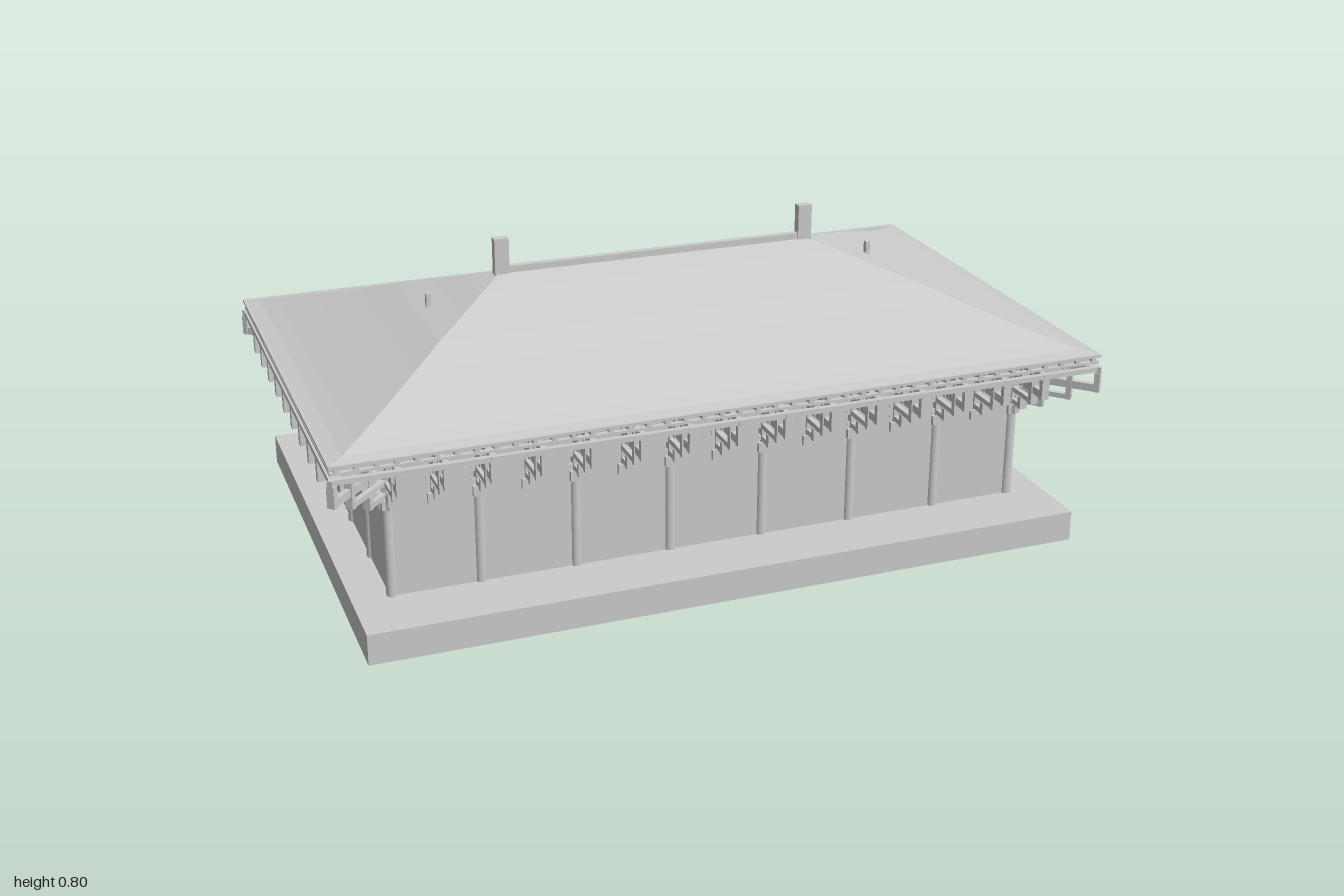
import * as THREE from 'three';
import { mergeGeometries } from 'three/addons/utils/BufferGeometryUtils.js';

const grey = new THREE.MeshStandardMaterial({ color: 0xcccccc, flatShading: true, side: THREE.DoubleSide });
const smooth = new THREE.MeshStandardMaterial({ color: 0xcccccc });

// Box given by its lower and upper limits
function span(x0, x1, y0, y1, z0, z1) {
  return new THREE.BoxGeometry(x1 - x0, y1 - y0, z1 - z0)
    .translate((x0 + x1) / 2, (y0 + y1) / 2, (z0 + z1) / 2);
}

function add(parent, name, geometry, material = grey) {
  const mesh = new THREE.Mesh(geometry, material);
  mesh.name = name;
  parent.add(mesh);
  return mesh;
}

const X = 0.835, Z = 0.435;                       // outer column axes
const colX = [-X, -0.613, -0.37, -0.124, 0.124, 0.37, 0.613, X];
const colZ = [-Z, -0.218, 0, 0.218, Z];
const WALL_TOP = 0.47, EAVE_X = 0.995, EAVE_Z = 0.59;

// Stepped bracket set reaching out along +z from the column axis
function bracketGeometry(stretch = 1) {
  const parts = [
    span(-0.016, 0.016, 0.312, 0.338, -0.016, 0.016),   // bearing block
    span(-0.007, 0.007, 0.338, 0.475, -0.012, 0.012),   // post
  ];
  const arms = [[0.342, 0.355, 0.06], [0.375, 0.388, 0.11], [0.407, 0.427, 0.16], [0.46, 0.475, 0.16]];
  arms.forEach(([y0, y1, reach], i) => {
    parts.push(span(-0.007, 0.007, y0, y1, -0.03, reach * stretch));
    parts.push(span(-0.017, 0.017, y0, y1, -0.007, 0.007));
    if (i === 3) return;
    // bearing blocks between this arm and the next
    const top = arms[i + 1][0];
    for (let j = 0; j <= i; j++) {
      const z = arms[j + (i === 2 ? 0 : i - j)][2] * stretch;
      parts.push(span(-0.01, 0.01, y0, top, z - 0.014, z));
    }
  });
  return mergeGeometries(parts);
}

// Concave hipped roof made of rectangular rings shrinking to the ridge
function roofGeometry() {
  const profile = [[0, 0.506], [0.07, 0.512], [0.14, 0.524], [0.3, 0.557], [0.47, 0.596],
    [0.61, 0.63], [0.75, 0.658], [0.87, 0.685], [1, 0.71]];
  const corners = [[1, 1], [1, -1], [-1, -1], [-1, 1]];
  const pos = [], index = [];
  profile.forEach(([t, y], r) => {
    corners.forEach(([sx, sz], k) => {
      pos.push(sx * (EAVE_X - 0.575 * t), y, sz * EAVE_Z * (1 - t));
      if (r === profile.length - 1) return;
      const a = r * 4 + k, b = r * 4 + (k + 1) % 4;
      index.push(a, b, b + 4, a, b + 4, a + 4);
    });
  });
  const g = new THREE.BufferGeometry();
  g.setAttribute('position', new THREE.Float32BufferAttribute(pos, 3));
  g.setIndex(index);
  g.computeVertexNormals();
  return g;
}

// Four bars forming a rectangular frame
function frameGeometry(hx, hz, y0, y1, w) {
  return mergeGeometries([
    span(-hx, hx, y0, y1, hz - w, hz), span(-hx, hx, y0, y1, -hz, w - hz),
    span(hx - w, hx, y0, y1, w - hz, hz - w), span(-hx, w - hx, y0, y1, w - hz, hz - w),
  ]);
}

// Axes of the columns plus the middles of the bays between them
const withMiddles = (a) => a.flatMap((v, i) => (i ? [(a[i - 1] + v) / 2, v] : [v]));

export function createModel() {
  const model = new THREE.Group();
  model.name = 'hippedRoofHall';

  add(model, 'platform', span(-0.935, 0.935, 0, 0.08, -0.608, 0.608));

  // Columns around the edge
  const column = new THREE.CylinderGeometry(0.0145, 0.0145, 0.24, 16).translate(0, 0.2, 0);
  const columns = new THREE.Group();
  columns.name = 'columns';
  for (const x of colX) for (const z of colZ) {
    if (Math.abs(x) !== X && Math.abs(z) !== Z) continue;
    add(columns, 'column', column, smooth).position.set(x, 0, z);
  }
  model.add(columns);

  // Wall panels between neighbouring columns
  const walls = new THREE.Group();
  walls.name = 'walls';
  const gap = 0.013;
  for (const s of [-1, 1]) {
    for (let i = 1; i < colX.length; i++)
      add(walls, 'longWallPanel', span(colX[i - 1] + gap, colX[i] - gap, 0.08, WALL_TOP, s * Z - 0.006, s * Z + 0.006));
    for (let i = 1; i < colZ.length; i++) {
      const a = colZ[i - 1] + gap, b = colZ[i] - gap;
      add(walls, 'endWallPanel', span(s * X - 0.006, s * X + 0.006, 0.08, 0.31, a, b));
      add(walls, 'endUpperPanel', span(s * X - 0.004, s * X + 0.004, 0.31, WALL_TOP, a, b));
    }
  }
  model.add(walls);

  // Bracket sets over every column and bay middle, diagonal ones at the corners
  const brackets = new THREE.Group();
  brackets.name = 'brackets';
  const bracket = bracketGeometry(), cornerBracket = bracketGeometry(Math.SQRT2);
  const place = (geo, x, z, angle) => {
    const m = add(brackets, 'bracket', geo);
    m.position.set(x, 0, z);
    m.rotation.y = angle;
  };
  for (const s of [-1, 1]) {
    for (const x of withMiddles(colX)) place(bracket, x, s * Z, s > 0 ? 0 : Math.PI);
    for (const z of withMiddles(colZ)) place(bracket, s * X, z, s * Math.PI / 2);
    for (const t of [-1, 1]) place(cornerBracket, s * X, t * Z, Math.atan2(s, t));
  }
  model.add(brackets);

  // Eaves: purlin on the brackets, rafters and edge boards
  add(model, 'eavePurlin', frameGeometry(EAVE_X, EAVE_Z + 0.004, 0.462, 0.475, 0.014));
  add(model, 'lowerEaveBoard', frameGeometry(EAVE_X - 0.003, EAVE_Z - 0.003, 0.483, 0.489, 0.012));
  add(model, 'upperEaveBoard', frameGeometry(EAVE_X, EAVE_Z, 0.5, 0.507, 0.012));
  const rafters = [];
  for (const s of [-1, 1]) {
    const limits = (outer, inner) => (s > 0 ? [inner, outer] : [-outer, -inner]);
    for (let i = -21; i <= 21; i++)
      rafters.push(span(i * 0.0465 - 0.006, i * 0.0465 + 0.006, 0.487, 0.501, ...limits(EAVE_Z - 0.004, 0.4)));
    for (let i = -12; i <= 12; i++)
      rafters.push(span(...limits(EAVE_X - 0.004, 0.8), 0.487, 0.501, i * 0.0475 - 0.006, i * 0.0475 + 0.006));
  }
  add(model, 'rafters', mergeGeometries(rafters));

  // Roof with its ridge, ridge-end finials and gable pegs
  add(model, 'roof', roofGeometry());
  add(model, 'ridge', span(-0.42, 0.42, 0.695, 0.724, -0.009, 0.009));
  for (const s of [-1, 1]) {
    add(model, 'ridgeFinial', span(-0.019, 0.019, 0.7, 0.8, -0.012, 0.012)).position.x = s * 0.42;
    add(model, 'roofPeg', span(-0.006, 0.006, 0.622, 0.675, -0.007, 0.007)).position.x = s * 0.613;
  }
  return model;
}
